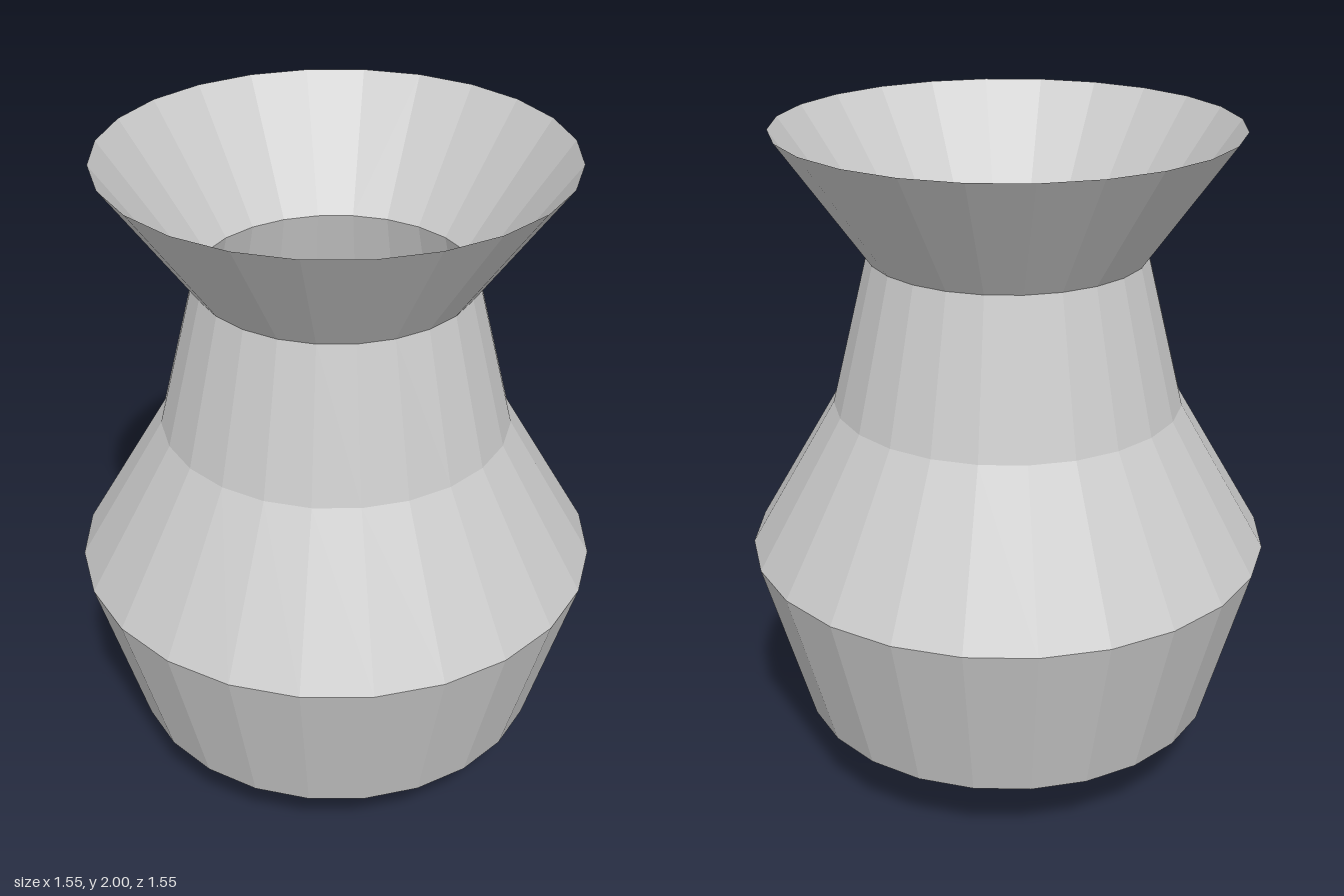
import * as THREE from 'three';

export function createModel() {
  const model = new THREE.Group();
  model.name = 'vase';

  const clay = new THREE.MeshStandardMaterial({ color: 0xcccccc });
  clay.name = 'light grey clay';
  clay.side = THREE.DoubleSide;
  clay.flatShading = true;

  // Thin, open-ended faceted sections: [name, bottom radius, bottom y, top radius, top y]
  const profile = [
    [0.26, 0], [0.633, 0.224], [0.777, 0.744],
    [0.517, 1.19], [0.407, 1.634], [0.666, 2],
  ];
  const names = ['foot', 'belly', 'shoulder', 'neck', 'flaredRim'];

  names.forEach((name, i) => {
    const points = [profile[i], profile[i + 1]].map(([r, y]) => new THREE.Vector2(r, y));
    const section = new THREE.Mesh(new THREE.LatheGeometry(points, 24), clay);
    section.name = name;
    model.add(section);
  });

  return model;
}
